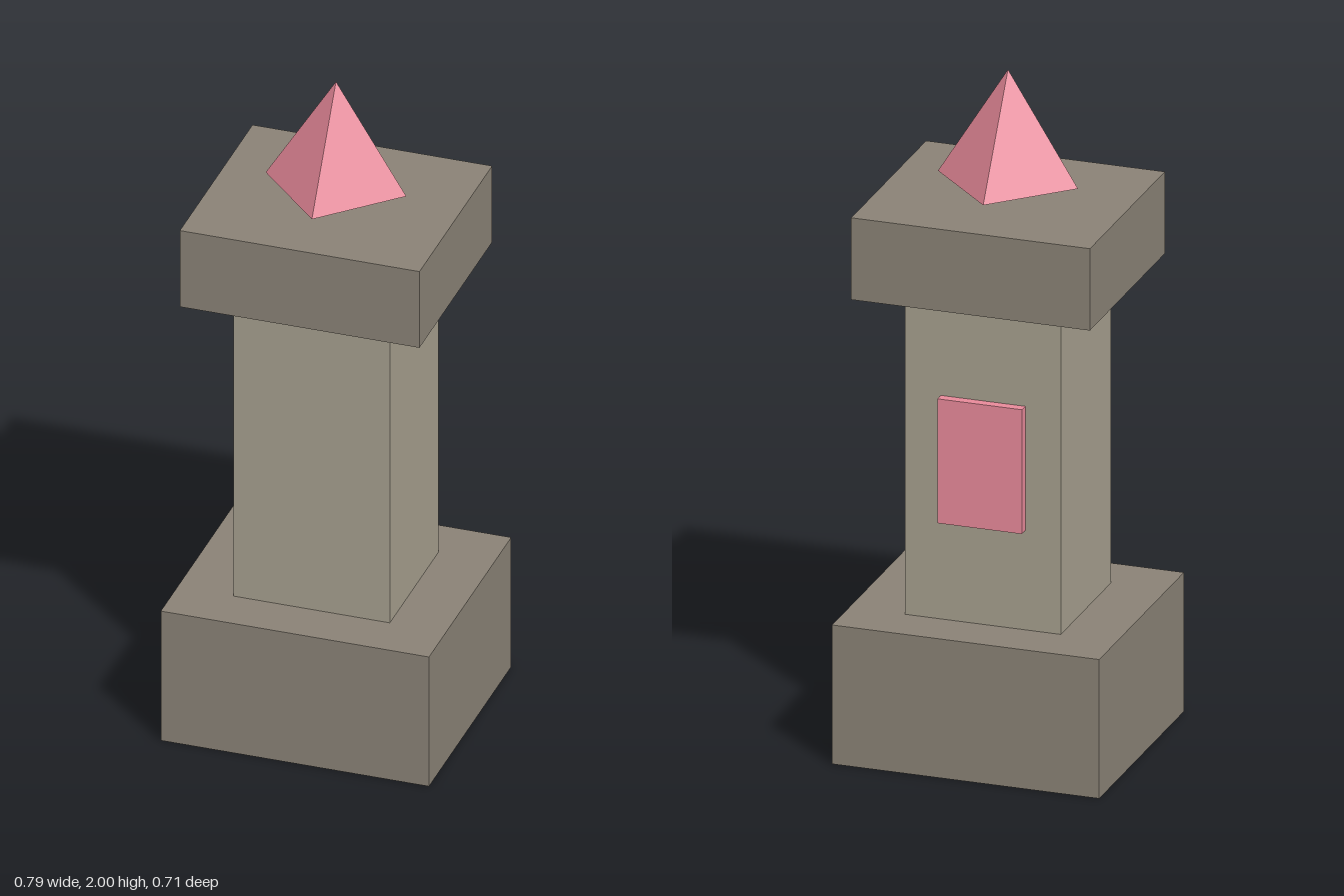
import * as THREE from 'three';

export function createModel() {
  const group = new THREE.Group();
  const material = (color) => new THREE.MeshStandardMaterial({ color, flatShading: true });
  const darkStone = material(0x8a8276);
  const lightStone = material(0xa69f8e);
  const pink = material(0xe88a9a);

  function add(name, geometry, mat, y, z = 0) {
    const mesh = new THREE.Mesh(geometry, mat);
    mesh.name = name;
    mesh.position.set(0, y, z);
    group.add(mesh);
  }

  // Box given by its bottom and top heights
  function block(name, width, depth, bottom, top, mat, z = 0) {
    add(name, new THREE.BoxGeometry(width, top - bottom, depth), mat, (bottom + top) / 2, z);
  }

  // Stone pillar
  block('base', 0.79, 0.706, 0, 0.416, darkStone);
  block('shaft', 0.46, 0.416, 0.416, 1.38, lightStone);
  block('capital', 0.706, 0.624, 1.38, 1.625, darkStone);

  // Plaque on the back of the shaft
  block('plaque', 0.25, 0.03, 0.713, 1.085, pink, -0.221);

  // Four-sided crystal floating above the capital, corners on the axes
  add('crystal', new THREE.ConeGeometry(0.207, 0.33, 4), pink, 1.835);

  return group;
}
